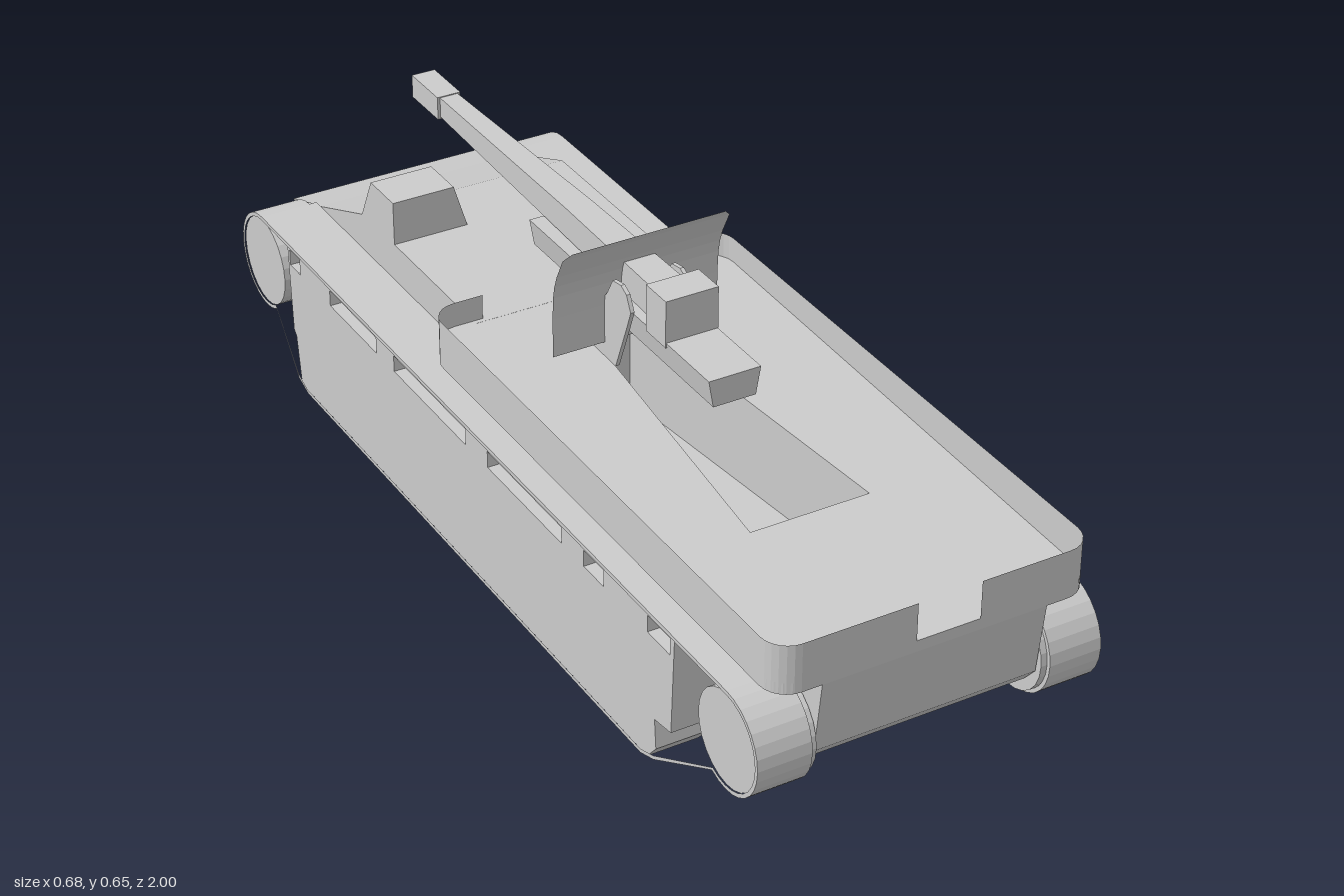
import * as THREE from 'three';

const mat = new THREE.MeshStandardMaterial({ color: 0xcccccc, flatShading: true });
const sheetMat = new THREE.MeshStandardMaterial({ color: 0xcccccc, flatShading: true, side: THREE.DoubleSide });

const toShape = (pts) => new THREE.Shape(pts.map(([a, b]) => new THREE.Vector2(a, b)));
const toPath = (pts) => new THREE.Path(pts.map(([a, b]) => new THREE.Vector2(a, b)));
const extrude = (pts, depth, holes) => {
  const shape = toShape(pts);
  shape.holes = holes.map(toPath);
  return new THREE.ExtrudeGeometry(shape, { depth, bevelEnabled: false });
};

// Side profile of [z, y] points spanning x0..x1
const prism = (pts, x0, x1, holes = []) =>
  extrude(pts, x1 - x0, holes).rotateY(-Math.PI / 2).translate(x1, 0, 0);

// Plan outline of [x, z] points spanning y0..y1
const slab = (pts, y0, y1, holes = []) =>
  extrude(pts, y1 - y0, holes).rotateX(Math.PI / 2).translate(0, y1, 0);

// Move every vertex by a rule
function warp(geo, rule) {
  const p = geo.attributes.position, v = new THREE.Vector3();
  for (let i = 0; i < p.count; i++) {
    v.fromBufferAttribute(p, i);
    rule(v);
    p.setXYZ(i, v.x, v.y, v.z);
  }
  geo.computeVertexNormals();
  return geo;
}

// Open sheet swept between two matching rows of [x, y, z] points
function sheet(rowA, rowB) {
  const pos = [], idx = [];
  rowA.forEach((a, i) => {
    pos.push(...a, ...rowB[i]);
    if (i) idx.push(2 * i - 2, 2 * i, 2 * i - 1, 2 * i - 1, 2 * i, 2 * i + 1);
  });
  const g = new THREE.BufferGeometry();
  g.setAttribute('position', new THREE.Float32BufferAttribute(pos, 3));
  g.setIndex(idx);
  g.computeVertexNormals();
  return g;
}

// Points on an arc, angles in degrees
function arc(cx, cy, r, a0, a1, n) {
  return Array.from({ length: n + 1 }, (_, i) => {
    const a = THREE.MathUtils.degToRad(a0 + (a1 - a0) * i / n);
    return [cx + r * Math.cos(a), cy + r * Math.sin(a)];
  });
}

export function createModel() {
  const model = new THREE.Group();
  const add = (name, geo, parent = model, material = mat) => {
    const m = new THREE.Mesh(geo, material);
    m.name = name;
    parent.add(m);
    return m;
  };

  // Hull: lower tub with the raised nose
  add('hull', prism([
    [0.98, 0.2], [0.95, 0.165], [0.89, 0.12], [0.66, 0.105], [-0.75, 0.105], [-0.94, 0.125],
    [-0.95, 0.14], [-1, 0.27], [-0.87, 0.315], [-0.67, 0.395], [-0.2, 0.395], [-0.2, 0.2],
  ], -0.22, 0.22));
  add('lowerCrossBeam', prism([[0.955, 0.195], [0.945, 0.165], [0.89, 0.12], [0.84, 0.12], [0.84, 0.195]], -0.235, 0.235));

  // Upper hull around the recoil pit
  const pit = [[-0.05, -0.1], [0.05, -0.1], [0.12, 0.61], [-0.12, 0.61]];
  add('upperHull', warp(
    slab([[-0.22, -0.2], [0.22, -0.2], [0.22, 1], [-0.22, 1]], 0.2, 0.355, [pit]),
    (v) => { if (v.y < 0.21 && v.z > 0.98) v.z = 0.98; }));

  // Fighting deck, gently rising towards the nose
  const r = 0.05, X = 0.31;
  const deckOutline = [
    ...arc(X - r, 1 - r, r, 0, 90, 5), ...arc(-X + r, 1 - r, r, 90, 180, 5),
    ...arc(-X + r, -0.21 + r, r, 180, 270, 5), ...arc(X - r, -0.21 + r, r, 270, 360, 5),
  ];
  add('fightingDeck', warp(slab(deckOutline, 0.348, 0.37, [pit]),
    (v) => { if (v.y > 0.36) v.y = 0.37 + 0.025 * (1 - v.z) / 1.21; }));

  // Low side walls, open in the middle at both ends
  for (const [s, name, gap] of [[1, 'leftWall', 0.085], [-1, 'rightWall', 0.04]]) {
    const path = [[gap, 1], ...arc(X - r, 1 - r, r, 90, 0, 6), ...arc(X - r, -0.21 + r, r, 0, -90, 6), [0.2, -0.21]];
    add(name, sheet(path.map(([x, z]) => [s * x, 0.348, z]), path.map(([x, z]) => [s * x, 0.445, z])), model, sheetMat);
  }

  // Driver's hood
  add('driverHood', warp(new THREE.BoxGeometry(1, 1, 1), (v) => {
    const top = v.y > 0;
    v.set(v.x < 0 ? -0.22 : top ? -0.09 : -0.06, top ? 0.485 : 0.385, v.z > 0 ? -0.535 : top ? -0.63 : -0.68);
  }));

  // Running gear
  const loop = (t) => [
    ...arc(0.9, 0.215, 0.1 - t, 90, -115, 16),
    [0.665, 0.015 + t], [0.62, t], [-0.71, t], [-0.75, 0.015 + t],
    ...arc(-0.89, 0.215, 0.1 - t, -60, -270, 16),
  ];
  const skirt = [
    [0.73, 0.31], [0.72, 0.108], [0.665, 0.1], [0.67, 0.04], [0.64, 0.005],
    [-0.74, 0.005], [-0.755, 0.11], [-0.765, 0.12], [-0.775, 0.31],
  ];
  const slots = [[0.64, 0.715], [0.42, 0.49], [0.065, 0.34], [-0.31, -0.02], [-0.585, -0.385], [-0.765, -0.72]]
    .map(([a, b]) => [[a, 0.268], [b, 0.268], [b, 0.302], [a, 0.302]]);
  for (const [s, name] of [[1, 'leftTrack'], [-1, 'rightTrack']]) {
    const side = new THREE.Group();
    side.name = name;
    model.add(side);
    const span = (a, b) => (s > 0 ? [a, b] : [-b, -a]);
    add('trackBelt', prism(loop(0), ...span(0.235, 0.34), [loop(0.008)]), side);
    add('trackSkirt', prism(skirt, ...span(0.235, 0.338), slots), side);
    for (const [z, wheel] of [[0.9, 'idlerWheel'], [-0.89, 'driveWheel']]) {
      add(wheel, new THREE.CylinderGeometry(0.092, 0.092, 0.115, 24).rotateZ(Math.PI / 2).translate(s * 0.28, 0.215, z), side);
    }
    // Fender strip beside the hull
    add('fender', new THREE.BoxGeometry(0.12, 0.008, 1.79).translate(s * 0.28, 0.311, 0.005), side);
  }

  // Gun
  const gun = new THREE.Group();
  gun.name = 'gun';
  model.add(gun);
  add('barrel', warp(prism([[0.14, 0.585], [0.14, 0.52], [-0.735, 0.53], [-0.735, 0.572], [-0.2, 0.585]], -1, 1),
    (v) => { v.x *= 0.019 + 0.015 * (v.z + 0.735) / 0.875; }), gun);
  add('muzzleBrake', new THREE.BoxGeometry(0.05, 0.048, 0.11).translate(0, 0.55, -0.78), gun);
  add('breech', new THREE.BoxGeometry(0.108, 0.095, 0.07).translate(0, 0.5575, 0.175), gun);
  add('cradle', warp(new THREE.BoxGeometry(0.106, 0.055, 0.655).translate(0, 0.4925, 0.03),
    (v) => { if (v.y < 0.49) v.x *= 0.82; }), gun);
  for (const s of [1, -1]) {
    add('trunnionBracket', prism([
      [0.105, 0.53], [0.09, 0.49], [0.05, 0.39], [-0.1, 0.39], [-0.1, 0.435], [-0.06, 0.46],
      [-0.01, 0.49], [0.02, 0.53], [0.04, 0.565], [0.07, 0.57], [0.09, 0.56],
    ], s * 0.061 - 0.004, s * 0.061 + 0.004), gun);
  }

  // Curved shield with clipped upper corners
  const curve = [[0.42, 0.01, 0.172], [0.5, 0.01, 0.172], [0.545, 0.013, 0.172], [0.57, 0.018, 0.172],
    [0.595, 0.027, 0.172], [0.64, 0.05, 0.172], [0.655, 0.06, 0.157]];
  add('gunShield', sheet(curve.map(([y, z, x]) => [-x, y, z]), curve.map(([y, z, x]) => [x, y, z])), gun, sheetMat);

  return model;
}
